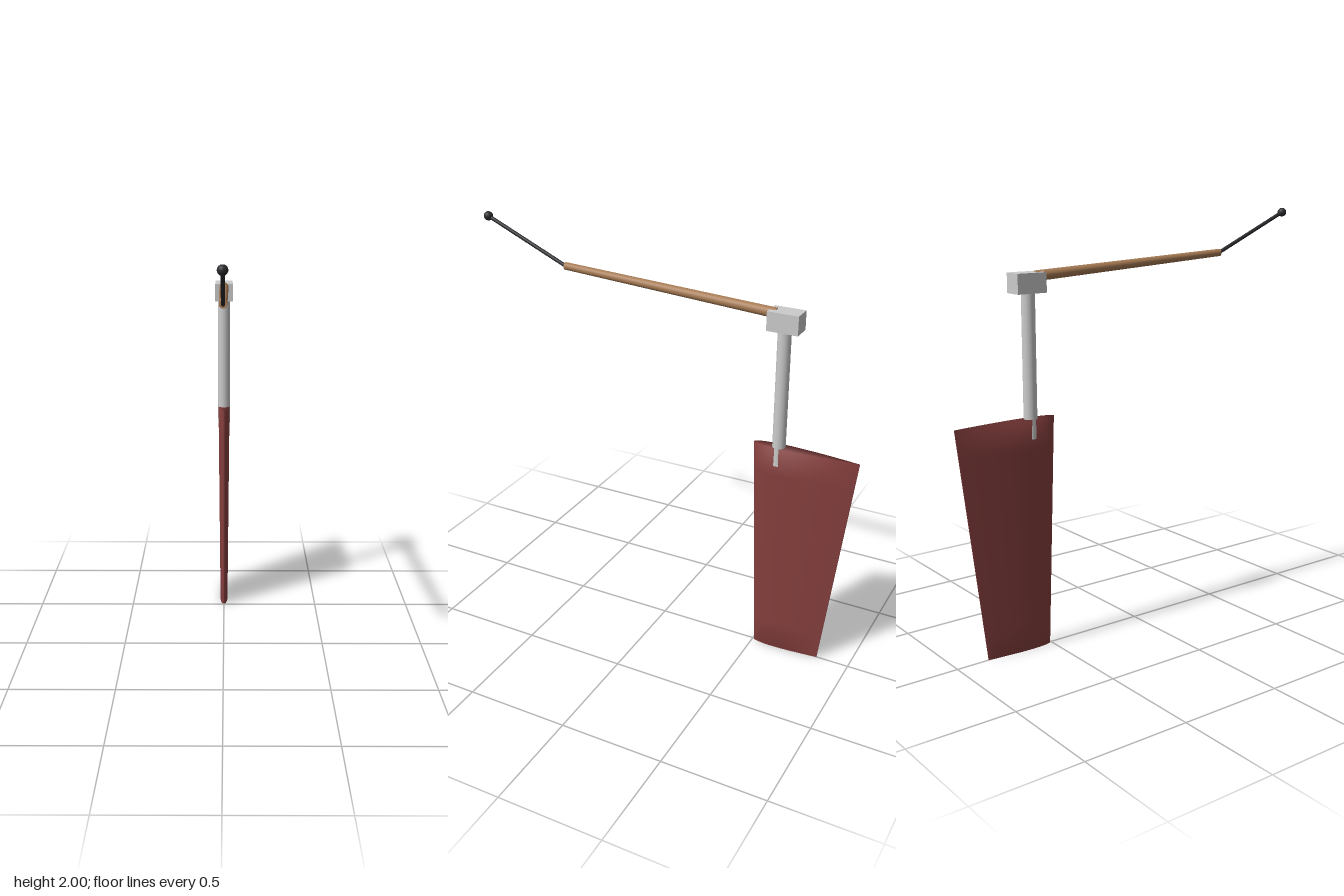
import * as THREE from 'three';

const grey = new THREE.MeshStandardMaterial({ color: 0xcccccc });
const red = new THREE.MeshStandardMaterial({ color: 0x853f3d });
const wood = new THREE.MeshStandardMaterial({ color: 0xa87c55 });
const black = new THREE.MeshStandardMaterial({ color: 0x2c2c30 });

function add(group, name, geometry, material, x = 0, y = 0, z = 0) {
  const mesh = new THREE.Mesh(geometry, material);
  mesh.name = name;
  mesh.position.set(x, y, z);
  group.add(mesh);
  return mesh;
}

// Round bar in the x = 0 plane, from point a to point b, each [y, z]
function addBar(group, name, a, b, radiusA, radiusB, material) {
  const from = new THREE.Vector3(0, ...a);
  const to = new THREE.Vector3(0, ...b);
  const dir = to.clone().sub(from);
  const bar = add(group, name, new THREE.CylinderGeometry(radiusB, radiusA, dir.length(), 24), material);
  bar.position.copy(from).add(to).multiplyScalar(0.5);
  bar.quaternion.setFromUnitVectors(new THREE.Vector3(0, 1, 0), dir.normalize());
  return bar;
}

// Half thickness of a symmetric foil of chord 1, at t from leading to trailing edge
const foil = (t) =>
  0.58 * (0.2969 * Math.sqrt(t) - 0.126 * t - 0.3516 * t ** 2 + 0.2843 * t ** 3 - 0.1036 * t ** 4);

// Tapered foil blade: stacked cross-sections, closed at both ends
function bladeGeometry() {
  const rows = 8, half = 20, ring = half * 2;
  const pos = [], index = [];
  for (let j = 0; j <= rows; j++) {
    const v = j / rows;
    const lead = THREE.MathUtils.lerp(-0.505, -0.463, v);
    const chord = THREE.MathUtils.lerp(0.335, 0.511, v);
    for (let i = 0; i < ring; i++) {
      const a = (i / ring) * Math.PI * 2;
      const t = (1 - Math.cos(a)) / 2;
      const side = i % half === 0 ? 0 : Math.sign(Math.sin(a));
      pos.push(side * foil(t) * chord, 1.1 * v, lead - t * chord);
    }
  }
  for (let j = 0; j < rows; j++) {
    for (let i = 0; i < ring; i++) {
      const a = j * ring + i, b = j * ring + ((i + 1) % ring);
      index.push(a, b, b + ring, a, b + ring, a + ring);
    }
  }
  // End caps, bridging the two faces of the foil
  const top = rows * ring;
  for (let i = 0; i < half; i++) {
    const a = i, b = i + 1, c = ring - i - 1, d = (ring - i) % ring;
    if (i < half - 1) {
      index.push(a, c, b);
      index.push(top + a, top + b, top + c);
    }
    if (i > 0) {
      index.push(a, d, c);
      index.push(top + a, top + c, top + d);
    }
  }
  const geometry = new THREE.BufferGeometry();
  geometry.setAttribute('position', new THREE.Float32BufferAttribute(pos, 3));
  geometry.setIndex(index);
  geometry.computeVertexNormals();
  return geometry;
}

export function createModel() {
  const model = new THREE.Group();
  model.name = 'rudder';

  // Blade, stock and head
  add(model, 'blade', bladeGeometry(), red);
  addBar(model, 'stock', [1.01, -0.587], [1.7, -0.587], 0.031, 0.031, grey);
  add(model, 'head', new THREE.BoxGeometry(0.09, 0.09, 0.148), grey, 0, 1.71, -0.591);

  // Tiller with its hinged extension and end knob
  addBar(model, 'tiller', [1.737, -0.545], [1.793, 0.53], 0.024, 0.018, wood);
  addBar(model, 'tillerExtension', [1.793, 0.53], [1.98, 0.957], 0.009, 0.009, black);
  add(model, 'knob', new THREE.SphereGeometry(0.022, 24, 16), black, 0, 1.98, 0.957);

  return model;
}
